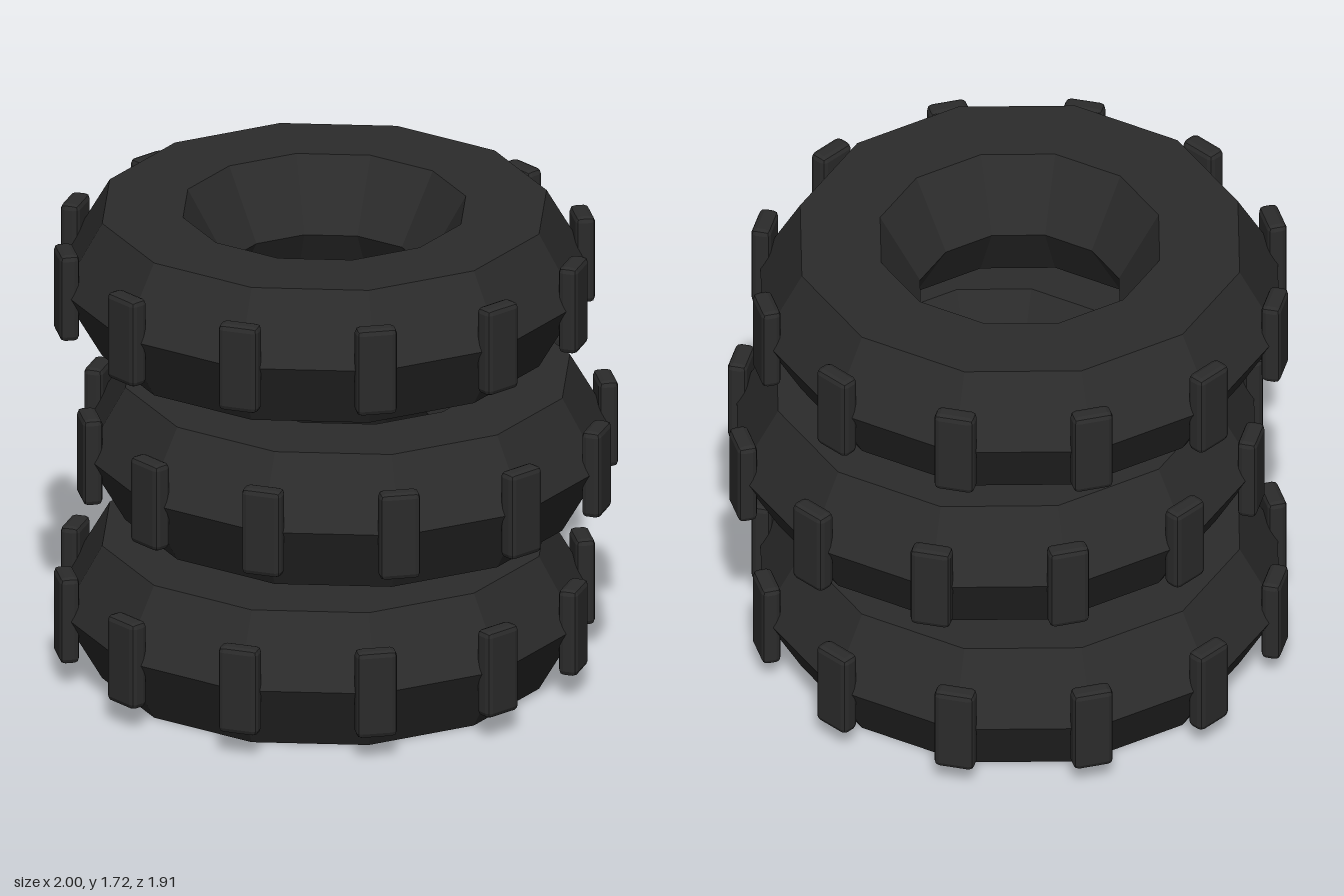
import * as THREE from 'three';
import { RoundedBoxGeometry } from 'three/addons/geometries/RoundedBoxGeometry.js';

const rubber = new THREE.MeshStandardMaterial({ color: 0x2b2b2b, flatShading: true });
rubber.name = 'dark rubber';

const SIDES = 12;
const TUBE = 0.289; // hexagonal section, flat on top and bottom
const HALF_HEIGHT = TUBE * Math.sin(Math.PI / 3);

function createTire(bodyGeometry, padGeometry) {
  const tire = new THREE.Group();
  const body = new THREE.Mesh(bodyGeometry, rubber);
  body.name = 'tireBody';
  tire.add(body);

  // Tread pads on each corner of the ring
  for (let i = 0; i < SIDES; i++) {
    const angle = (i / SIDES) * Math.PI * 2;
    const pad = new THREE.Mesh(padGeometry, rubber);
    pad.name = 'treadPad';
    pad.position.set(Math.sin(angle) * 0.922, 0, Math.cos(angle) * 0.922);
    pad.rotation.y = angle;
    tire.add(pad);
  }
  return tire;
}

export function createModel() {
  const model = new THREE.Group();
  model.name = 'tireStack';

  const bodyGeometry = new THREE.TorusGeometry(0.65, TUBE, 6, SIDES).rotateX(Math.PI / 2);
  const padGeometry = new RoundedBoxGeometry(0.145, 0.325, 0.07, 1, 0.02);

  // Three tires, the middle one shifted sideways
  ['bottomTire', 'middleTire', 'topTire'].forEach((name, i) => {
    const tire = createTire(bodyGeometry, padGeometry);
    tire.name = name;
    tire.position.set(i === 1 ? 0.043 : -0.043, HALF_HEIGHT + i * 0.61, 0);
    model.add(tire);
  });
  return model;
}
